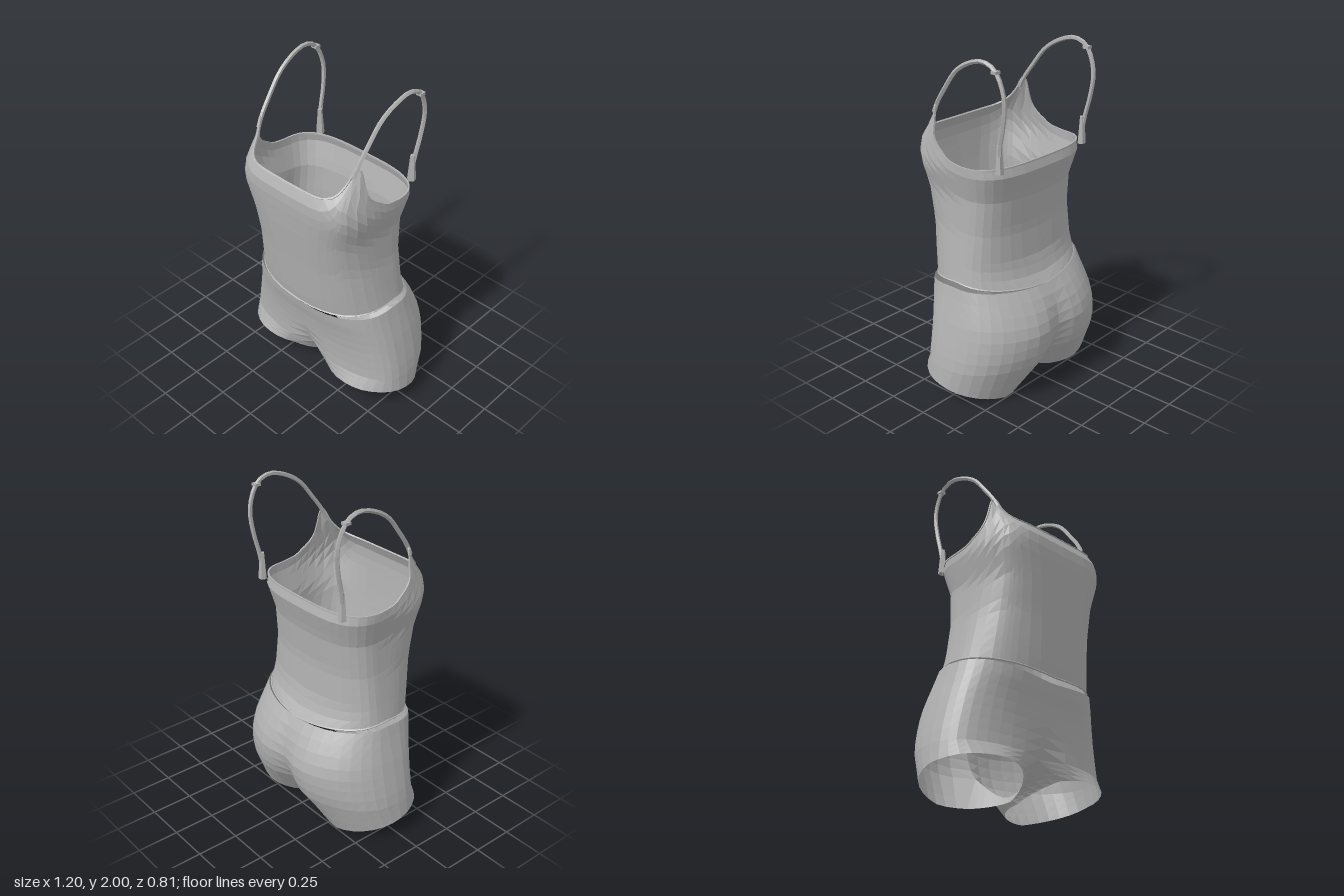
import * as THREE from 'three';

const V = (x, y, z) => new THREE.Vector3(x, y, z);
const rad = THREE.MathUtils.degToRad;
const { lerp } = THREE.MathUtils;

// Linear look-up in a list of rows [key, v1, v2, ...] with rising keys
function look(table, key) {
  if (key <= table[0][0]) return table[0].slice(1);
  for (let i = 1; i < table.length; i++) {
    const a = table[i - 1], b = table[i];
    if (key <= b[0]) {
      const f = (key - a[0]) / (b[0] - a[0]);
      return a.slice(1).map((v, k) => lerp(v, b[k + 1], f));
    }
  }
  return table[table.length - 1].slice(1);
}

// Surface through columns of points, each running downwards
function skin(cols) {
  const rows = cols[0].length, pos = [], index = [];
  cols.forEach(c => c.forEach(p => pos.push(p.x, p.y, p.z)));
  for (let j = 0; j < cols.length - 1; j++) {
    for (let k = 0; k < rows - 1; k++) {
      const a = j * rows + k, b = a + 1, d = a + rows, c = d + 1;
      index.push(a, b, c, a, c, d);
    }
  }
  const g = new THREE.BufferGeometry();
  g.setAttribute('position', new THREE.Float32BufferAttribute(pos, 3));
  g.setIndex(index);
  g.computeVertexNormals();
  return g;
}

// Rounded half section: 90 = front, 0 = side, -90 = back
function section(deg, y, a, front, back, nFront, nBack) {
  const n = deg >= 0 ? nFront : nBack, t = rad(Math.abs(deg));
  const x = a * Math.pow(Math.max(0, Math.cos(t)), 2 / n);
  const z = Math.pow(Math.sin(t), 2 / n) * (deg >= 0 ? front : back);
  return V(Math.abs(deg) === 90 ? 0 : x, y, z);
}

// Camisole: height, half width, front z, back z, front and back squareness
const TOP = [
  [0.65, 0.465, 0.33, -0.29, 2.5, 2.5], [0.70, 0.457, 0.34, -0.25, 2.5, 2.5],
  [0.80, 0.44, 0.35, -0.215, 2.7, 2.6], [1.00, 0.41, 0.37, -0.20, 3, 2.8],
  [1.20, 0.40, 0.395, -0.215, 3.6, 3], [1.36, 0.437, 0.41, -0.258, 4.2, 3.2],
  [1.41, 0.435, 0.413, -0.235, 4.3, 3.2], [1.47, 0.425, 0.41, -0.235, 4.3, 3.2],
  [1.52, 0.42, 0.38, -0.235, 4.3, 3.2], [1.60, 0.412, 0.31, -0.235, 4.3, 3.2],
  [1.70, 0.423, 0.26, -0.235, 4.3, 3.2],
];
// Angle and height of the upper edge, from the neckline round to the back
const EDGE = [
  [90, 1.515], [80, 1.517], [70, 1.522], [60, 1.54], [54, 1.57], [49, 1.62], [45, 1.70],
  [38, 1.68], [25, 1.60], [15, 1.53], [8, 1.48], [4, 1.45], [1.5, 1.42], [0, 1.405],
  [-3, 1.40], [-8, 1.40], [-18, 1.40], [-30, 1.40], [-42, 1.40], [-54, 1.40],
  [-66, 1.40], [-78, 1.40], [-90, 1.40],
];
const TOP_HEM = [[-90, 0.65], [-45, 0.685], [0, 0.715], [45, 0.685], [90, 0.66]];

function camisoleColumns() {
  const rows = 14;
  return EDGE.map(([deg, top]) => {
    const [low] = look(TOP_HEM, deg);
    return Array.from({ length: rows + 1 }, (_, k) => {
      const y = lerp(top, low, k / rows);
      return section(deg, y, ...look(TOP, y));
    });
  });
}

// Shorts: height, half width, front z, back z, front crease, back cleft
const BODY = [
  [0.22, 0.588, 0.263, -0.385, 0.06, 0.09], [0.30, 0.575, 0.262, -0.41, 0.02, 0.06],
  [0.40, 0.553, 0.27, -0.42, 0, 0.045], [0.50, 0.53, 0.285, -0.395, 0, 0.03],
  [0.60, 0.503, 0.31, -0.335, 0, 0.01], [0.70, 0.48, 0.325, -0.265, 0, 0],
];
const WAIST = [[-90, 0.65], [-45, 0.675], [0, 0.695], [50, 0.67], [90, 0.63]];
// Leg hem height by angle: 0 = outer, 90 = front, 180 = inner, 270 = back
const LEG_HEM = [
  [0, 0.11], [45, 0.14], [90, 0.147], [126, 0.13], [150, 0.08], [180, 0.02],
  [234, 0], [270, 0.0], [310, 0.05], [360, 0.11],
];

function bodyPoint(deg, y) {
  const [a, f, b, crease, cleft] = look(BODY, y);
  const p = section(deg, y, a, f, b, 2.8, 2.3);
  const dip = Math.exp(-((p.x / 0.1) ** 2));
  p.z += dip * (deg > 0 ? -crease : cleft) * Math.abs(Math.sin(rad(deg)));
  return p;
}

function hemPoint(deg) {
  const d = (deg + 360) % 360, t = rad(d);
  return V(0.315 + 0.285 * Math.cos(t), look(LEG_HEM, d)[0], 0.015 + 0.262 * Math.sin(t));
}

function shortsOuter() {
  const cols = [], steps = 20, branch = 0.22;
  for (let j = 0; j <= steps; j++) {
    const deg = 90 - 180 * j / steps, [w] = look(WAIST, deg), col = [];
    for (let k = 0; k <= 7; k++) col.push(bodyPoint(deg, lerp(w, branch, k / 7)));
    const ring = col[7], hem = hemPoint(deg * 1.4);
    for (let k = 1; k <= 3; k++) col.push(ring.clone().lerp(hem, k / 3));
    cols.push(col);
  }
  return cols;
}

function shortsInner() {
  const seam = new THREE.CatmullRomCurve3([
    bodyPoint(-90, 0.22), V(0, 0.11, -0.15), V(0, 0.06, -0.03), V(0, 0.1, 0.09), bodyPoint(90, 0.22),
  ]);
  return Array.from({ length: 13 }, (_, j) => {
    const s = j / 12, top = seam.getPoint(s), hem = hemPoint(234 - 108 * s);
    return [0, 1, 2, 3].map(k => top.clone().lerp(hem, k / 3));
  });
}

export function createModel() {
  const model = new THREE.Group();
  model.name = 'camisoleAndShorts';
  const cloth = new THREE.MeshStandardMaterial({ color: 0xb0b0b0 });
  cloth.name = 'grey cloth';
  cloth.flatShading = true;
  cloth.side = THREE.DoubleSide;

  const tube = (pts, r, n, sides = 5) =>
    new THREE.TubeGeometry(new THREE.CatmullRomCurve3(pts), n, r, sides, false);

  const cami = camisoleColumns();
  const parts = {
    camisoleBody: skin(cami),
    necklineBinding: tube(cami.map(c => c[0]), 0.007, 50, 4),
    camisoleHem: tube(cami.map(c => c[c.length - 1]), 0.006, 30, 4),
    // Shoulder strap from the front point over to the back edge
    strap: tube([
      V(0.357, 1.64, 0.245), V(0.36, 1.70, 0.215), V(0.365, 1.79, 0.15), V(0.37, 1.90, 0.06),
      V(0.377, 1.965, -0.05), V(0.38, 1.986, -0.15), V(0.38, 1.95, -0.23), V(0.375, 1.82, -0.285),
      V(0.367, 1.68, -0.275), V(0.36, 1.55, -0.245), V(0.345, 1.39, -0.225),
    ], 0.013, 28),
    strapSlider: new THREE.BoxGeometry(0.036, 0.016, 0.036).translate(0.38, 1.945, -0.233),
    strapEnd: new THREE.CylinderGeometry(0.014, 0.026, 0.16, 5).translate(0.352, 1.47, -0.232),
    shortsShell: skin(shortsOuter()),
    shortsInnerLeg: skin(shortsInner()),
  };

  // Each part is made for the left half and mirrored to the right
  for (const side of [1, -1]) {
    const half = new THREE.Group();
    half.name = side > 0 ? 'leftHalf' : 'rightHalf';
    for (const [name, geometry] of Object.entries(parts)) {
      const mesh = new THREE.Mesh(geometry, cloth);
      mesh.name = name;
      half.add(mesh);
    }
    half.scale.x = side;
    model.add(half);
  }
  return model;
}
